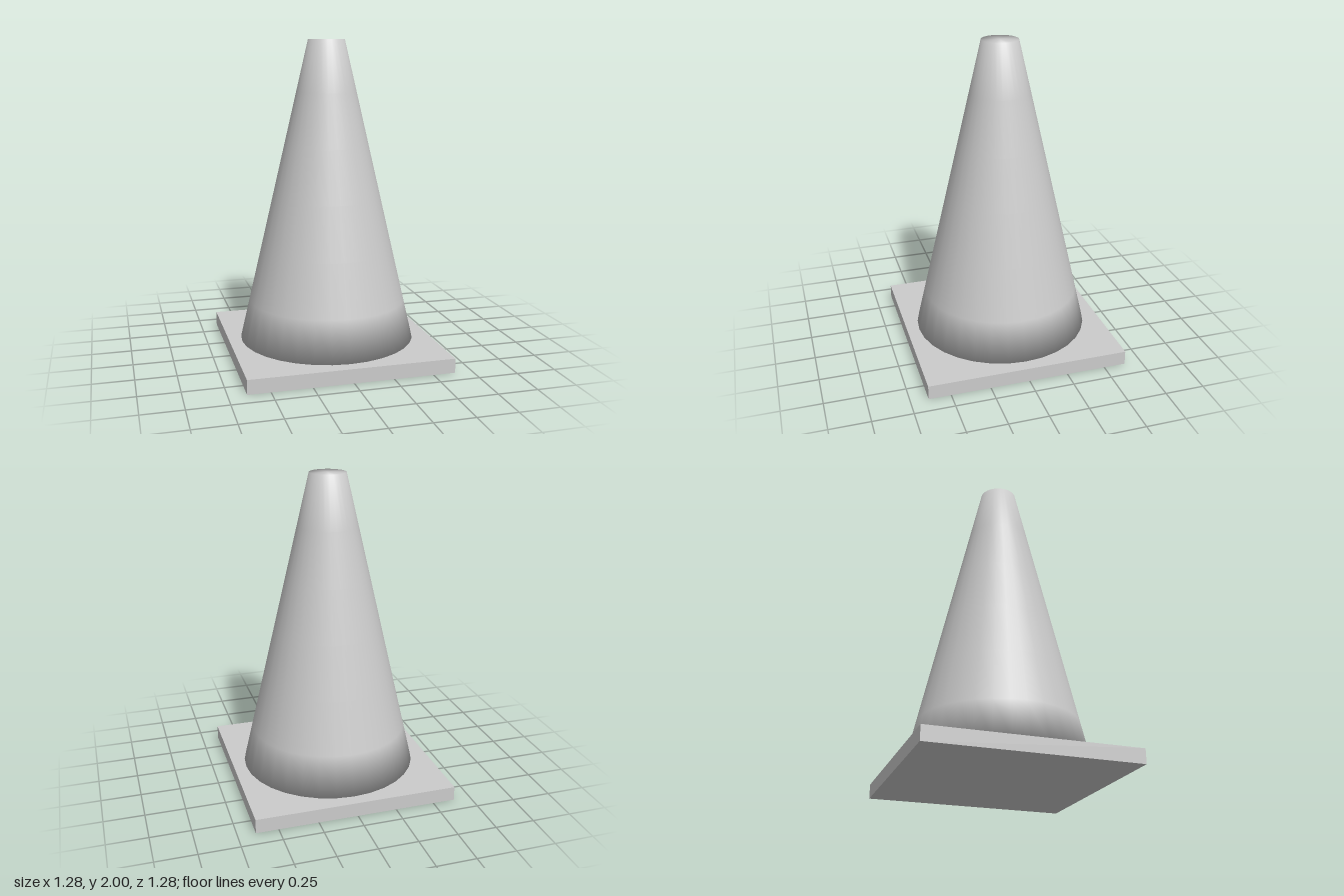
import * as THREE from 'three';

const BASE_SIZE = 1.28, BASE_HEIGHT = 0.09, TOP = 2;
const BOTTOM_RADIUS = 0.56, TOP_RADIUS = 0.115, SIDES = 32;

export function createModel() {
  const model = new THREE.Group();
  model.name = 'trafficCone';
  const grey = new THREE.MeshStandardMaterial({ color: 0xcccccc });
  const white = new THREE.MeshStandardMaterial({ color: 0xffffff });

  // Square foot plate
  const base = new THREE.Mesh(new THREE.BoxGeometry(BASE_SIZE, BASE_HEIGHT, BASE_SIZE), grey);
  base.name = 'base';
  base.position.y = BASE_HEIGHT / 2;
  model.add(base);

  // Tapered body in six alternating bands, closed at both ends
  const heights = [BASE_HEIGHT, 0.345, 0.675, 1.01, 1.34, 1.675, TOP];
  const pointAt = (y) => new THREE.Vector2(
    THREE.MathUtils.mapLinear(y, BASE_HEIGHT, TOP, BOTTOM_RADIUS, TOP_RADIUS), y);
  const last = heights.length - 2;

  for (let i = 0; i <= last; i++) {
    const profile = [pointAt(heights[i]), pointAt(heights[i + 1])];
    // End caps share the rim normals, giving softly shaded ends
    if (i === 0) profile.unshift(new THREE.Vector2(0, BASE_HEIGHT));
    if (i === last) profile.push(new THREE.Vector2(0, TOP));
    const light = i % 2 === 0;
    const band = new THREE.Mesh(new THREE.LatheGeometry(profile, SIDES), light ? white : grey);
    band.name = (light ? 'lightBand' : 'darkBand') + (Math.floor(i / 2) + 1);
    model.add(band);
  }
  return model;
}
